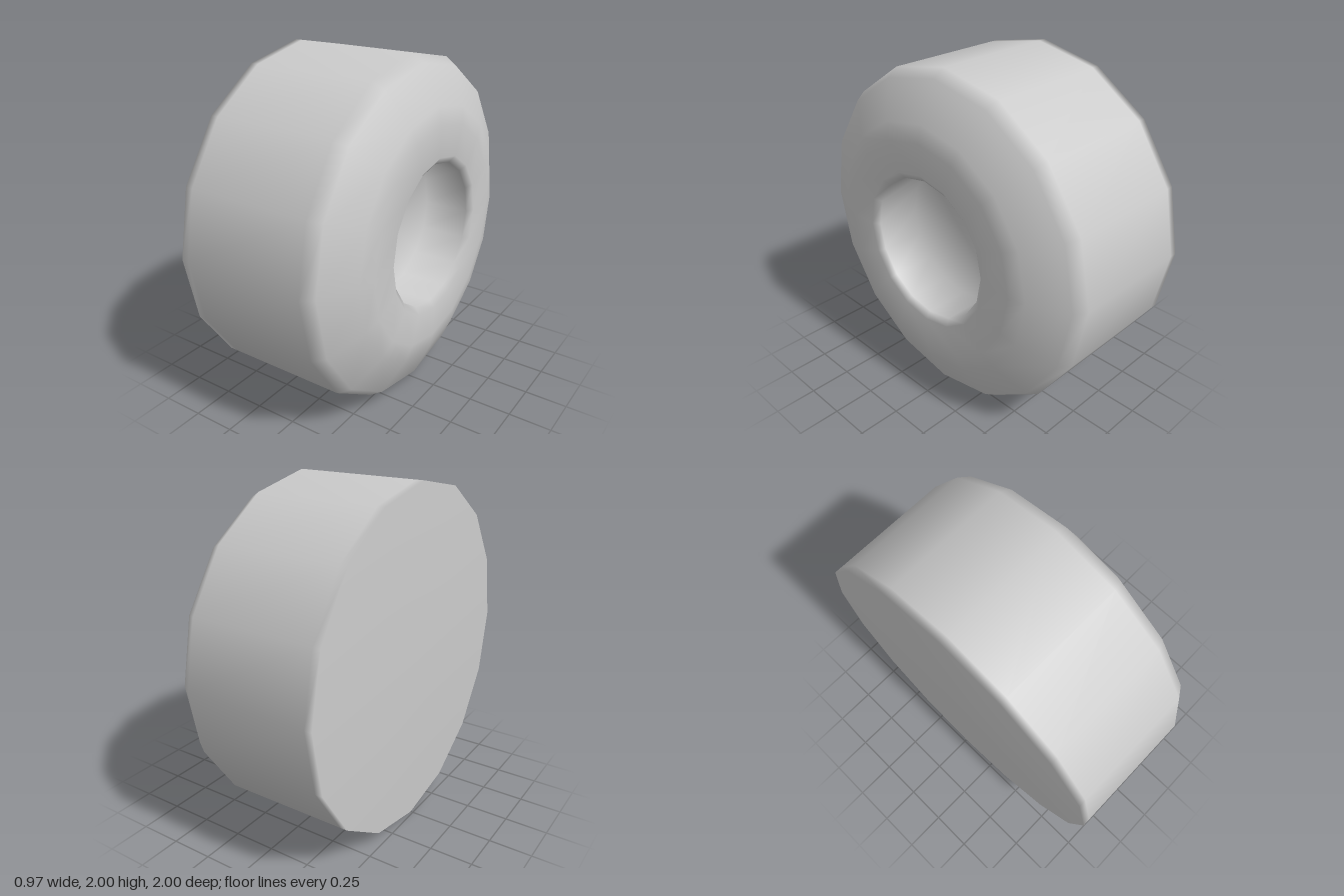
import * as THREE from 'three';

// Turned profile: [radius, position along the axle]
const PROFILE = [
  [0, -0.485], [1, -0.485], [1, -0.44],          // flat back and its rim
  [1, 0.29], [0.955, 0.36],                      // tread and bevelled shoulder
  [0.74, 0.46], [0.64, 0.48], [0.46, 0.48],      // side wall and outer face
  [0.42, 0.45], [0.42, 0.18], [0, 0.18],         // axle socket
];

export function createModel() {
  const group = new THREE.Group();
  group.name = 'wheel';

  const points = PROFILE.map(([r, a]) => new THREE.Vector2(r, a));
  const geometry = new THREE.LatheGeometry(points, 16);
  geometry.rotateZ(-Math.PI / 2); // axle along x, socket towards +x
  geometry.translate(0, 1, 0);

  const material = new THREE.MeshStandardMaterial({ color: 0xcccccc });
  const tyre = new THREE.Mesh(geometry, material);
  tyre.name = 'tyreWithSocket';
  group.add(tyre);
  return group;
}
